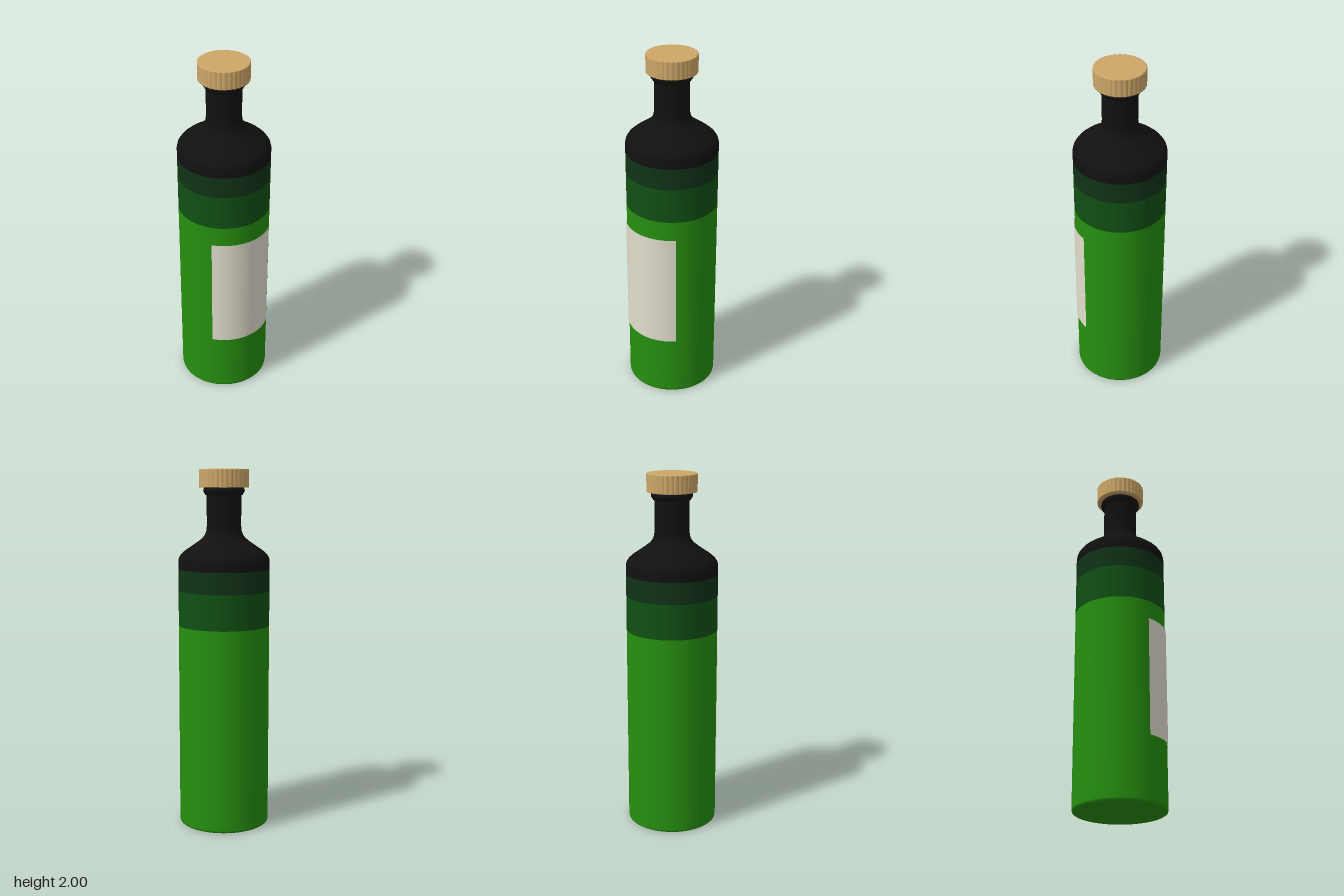
import * as THREE from 'three';

const SEGMENTS = 64;
const R = 0.2535; // body radius

const paint = (name, color) => {
  const m = new THREE.MeshStandardMaterial({ color });
  m.name = name;
  return m;
};

export function createModel() {
  const green = paint('bright green glass', 0x26900f);
  const deepGreen = paint('deep green', 0x105014);
  const darkGreen = paint('dark green', 0x103317);
  const black = paint('black', 0x111111);
  const tan = paint('tan cap', 0xcda768);
  const cream = paint('cream paper', 0xe2dece);
  cream.side = THREE.DoubleSide;

  const bottle = new THREE.Group();
  bottle.name = 'bottle';

  const add = (name, geometry, material) => {
    const mesh = new THREE.Mesh(geometry, material);
    mesh.name = name;
    mesh.position.z = -0.0025;
    bottle.add(mesh);
    return mesh;
  };
  const turned = (name, points, material) =>
    add(name, new THREE.LatheGeometry(points.map(([r, y]) => new THREE.Vector2(r, y)), SEGMENTS), material);

  // Base and straight body, banded by colour
  turned('base', [[0, 0], [R - 0.008, 0]], green);
  turned('baseEdge', [[R - 0.008, 0], [R - 0.002, 0.004], [R, 0.012]], green);
  turned('body', [[R, 0.012], [R, 1.14]], green);
  turned('lowerBand', [[R, 1.14], [R, 1.335]], deepGreen);
  turned('upperBand', [[R, 1.335], [R, 1.455]], darkGreen);

  // Rounded shoulder flowing into the neck
  turned('shoulderAndNeck', [
    [R, 1.455], [R, 1.5], [0.249, 1.519], [0.237, 1.537], [0.215, 1.556],
    [0.18, 1.58], [0.145, 1.604], [0.12, 1.624], [0.106, 1.642],
    [0.098, 1.662], [0.095, 1.69], [0.095, 1.87],
  ], black);

  // Lip ring under the cap
  turned('lip', [
    [0.094, 1.858], [0.103, 1.859], [0.106, 1.868], [0.112, 1.874],
    [0.114, 1.882], [0.113, 1.893], [0.108, 1.899], [0, 1.9],
  ], black);

  // Fluted cap
  const flutes = 32, steps = 6, rim = [];
  for (let i = 0; i < flutes * steps; i++) {
    const a = (i / (flutes * steps)) * Math.PI * 2;
    const r = 0.1305 + 0.0035 * Math.abs(Math.sin((a * flutes) / 2));
    rim.push(new THREE.Vector2(r * Math.cos(a), r * Math.sin(a)));
  }
  const capGeometry = new THREE.ExtrudeGeometry(new THREE.Shape(rim), {
    depth: 0.092, bevelEnabled: true, bevelThickness: 0.004, bevelSize: 0.004, bevelSegments: 2,
  });
  capGeometry.rotateX(-Math.PI / 2).translate(0, 1.904, 0);
  add('cap', capGeometry, tan);

  // Paper label wrapped around the front quarter
  const label = new THREE.CylinderGeometry(
    R + 0.005, R + 0.005, 0.67, 24, 1, true, -Math.PI / 4, Math.PI / 2);
  add('label', label, cream).position.y = 0.695;

  return bottle;
}
